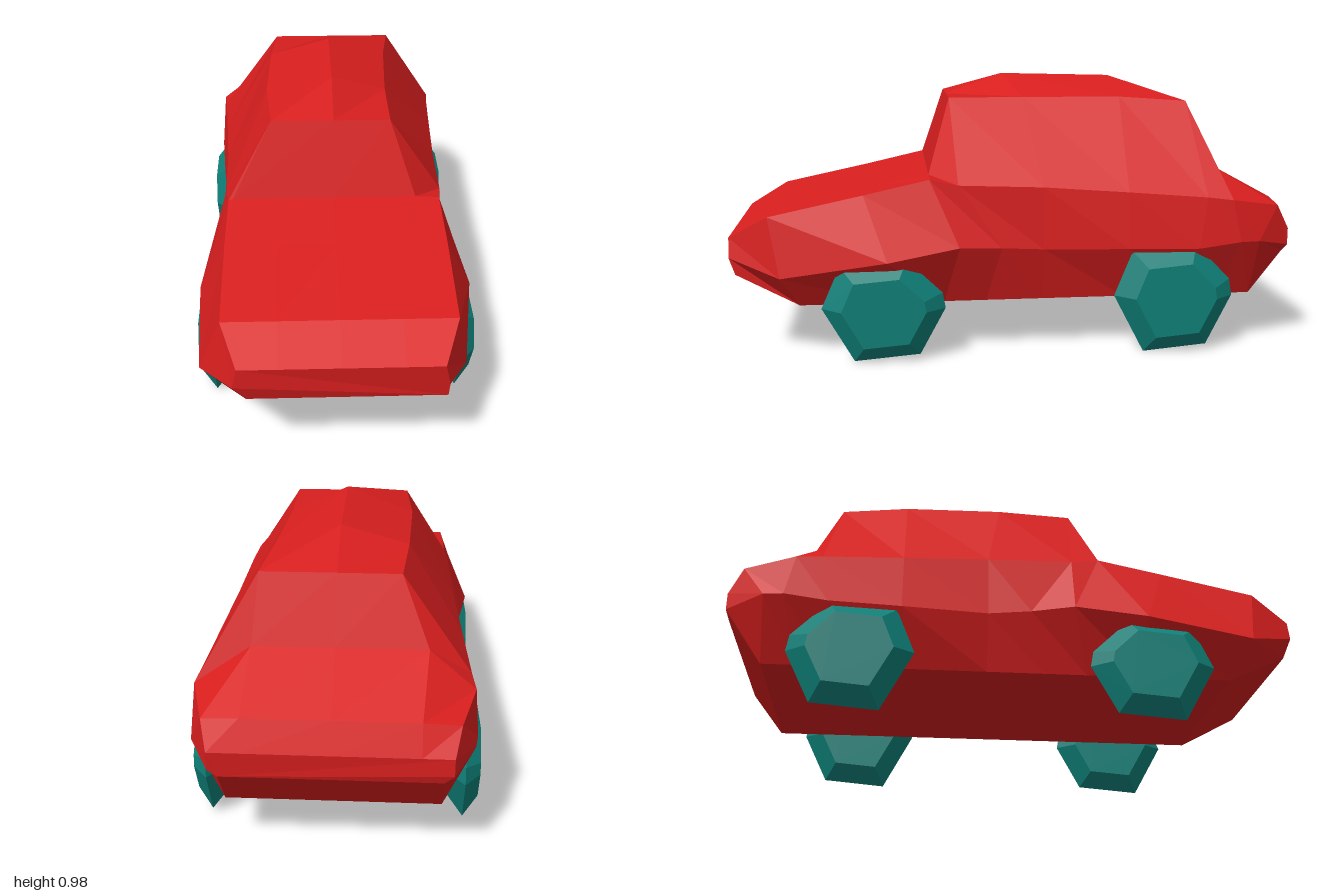
import * as THREE from 'three';
import { ConvexGeometry } from 'three/addons/geometries/ConvexGeometry.js';

// Half cross-sections from nose to tail: sill, flank, shoulder, top edge.
// Each point is x, y, z and, where the two sides differ, x of the -x side.
const SECTIONS = [
  [[0.34, 0.30, 0.98, -0.30], [0.34, 0.36, 1.0], [0.325, 0.43, 1.0], [0.2, 0.43, 1.0]],
  [[0.35, 0.185, 0.76], [0.42, 0.30, 0.82, -0.46], [0.38, 0.51, 0.86], [0.2, 0.51, 0.86]],
  [[0.35, 0.185, 0.45], [0.48, 0.36, 0.45], [0.38, 0.58, 0.53], [0.2, 0.58, 0.53]],
  [[0.35, 0.185, 0.25], [0.45, 0.40, 0.20], [0.375, 0.63, 0.30], [0.29, 0.635, 0.30, -0.36]],
  [[0.35, 0.185, 0.1], [0.42, 0.39, 0.05], [0.39, 0.61, 0.20], [0.2, 0.90, 0.22, -0.22]],
  [[0.35, 0.185, -0.1], [0.41, 0.38, -0.1], [0.40, 0.60, -0.1], [0.2, 0.90, -0.05, -0.24]],
  [[0.35, 0.185, -0.4], [0.44, 0.38, -0.4], [0.42, 0.58, -0.4], [0.22, 0.90, -0.4, -0.23]],
  [[0.35, 0.185, -0.65], [0.46, 0.38, -0.65], [0.44, 0.56, -0.68], [0.25, 0.885, -0.64, -0.21]],
  [[0.35, 0.185, -0.75], [0.46, 0.40, -0.8], [0.45, 0.55, -0.77], [0.27, 0.66, -0.72, -0.30]],
  [[0.35, 0.185, -0.87], [0.45, 0.40, -0.87], [0.40, 0.52, -0.95], [0.28, 0.53, -0.96]],
  [[0.35, 0.34, -0.99], [0.38, 0.37, -1.0], [0.38, 0.43, -1.0], [0.28, 0.43, -1.0]],
];
// Raised ridge along the roof, by section index
const RIDGE = { 5: [0, 0.975, 0.01], 6: [0, 0.965, -0.4] };

// Full ring: up the +x side, over the ridge and down the -x side
function ring(half, i) {
  const top = half[3];
  const left = half.map(([x, y, z]) => [x, y, z]);
  const right = half.map(([x, y, z, rx = -x]) => [rx, y, z]).reverse();
  return [...left, RIDGE[i] ?? [0, top[1], top[2]], ...right];
}

function bodyGeometry() {
  const rings = SECTIONS.map(ring);
  const n = rings[0].length;
  const last = rings.length - 1;
  const index = [];
  for (let i = 0; i < last; i++) {
    for (let j = 0; j < n; j++) {
      const a = i * n + j, b = i * n + (j + 1) % n;
      index.push(a, a + n, b, b, a + n, b + n);
    }
  }
  // nose and tail caps
  for (let j = 1; j < n - 1; j++) {
    index.push(0, j, j + 1, last * n, last * n + j + 1, last * n + j);
  }
  const geometry = new THREE.BufferGeometry();
  geometry.setAttribute('position', new THREE.Float32BufferAttribute(rings.flat(2), 3));
  geometry.setIndex(index);
  const flat = geometry.toNonIndexed();
  flat.computeVertexNormals();
  return flat;
}

// Chunky seven-sided wheel: a wide rim tapering to two smaller faces
function wheelGeometry() {
  const rim = [[0.215, 0.21], [0.15, 0.37], [-0.08, 0.39], [-0.205, 0.26], [-0.215, 0.20], [-0.125, 0.02], [0.105, 0]];
  const points = [];
  for (const [z, y] of rim) {
    points.push(new THREE.Vector3(0, y, z));
    for (const x of [-0.053, 0.053]) {
      points.push(new THREE.Vector3(x, 0.2 + (y - 0.2) * 0.68, z * 0.68));
    }
  }
  return new ConvexGeometry(points);
}

export function createModel() {
  const model = new THREE.Group();
  model.name = 'car';
  const paint = new THREE.MeshStandardMaterial({ color: 0xd81e1e, flatShading: true });
  const teal = new THREE.MeshStandardMaterial({ color: 0x0f8078, flatShading: true });

  const body = new THREE.Mesh(bodyGeometry(), paint);
  body.name = 'body';
  model.add(body);

  // two wheels per axle
  const wheel = wheelGeometry();
  for (const [axle, z, height] of [['front', 0.465, 0.92], ['rear', -0.565, 1]]) {
    for (const [side, x] of [['Left', 0.43], ['Right', -0.43]]) {
      const mesh = new THREE.Mesh(wheel, teal);
      mesh.name = `${axle}${side}Wheel`;
      mesh.position.set(x, 0, z);
      mesh.scale.y = height;
      model.add(mesh);
    }
  }
  return model;
}
